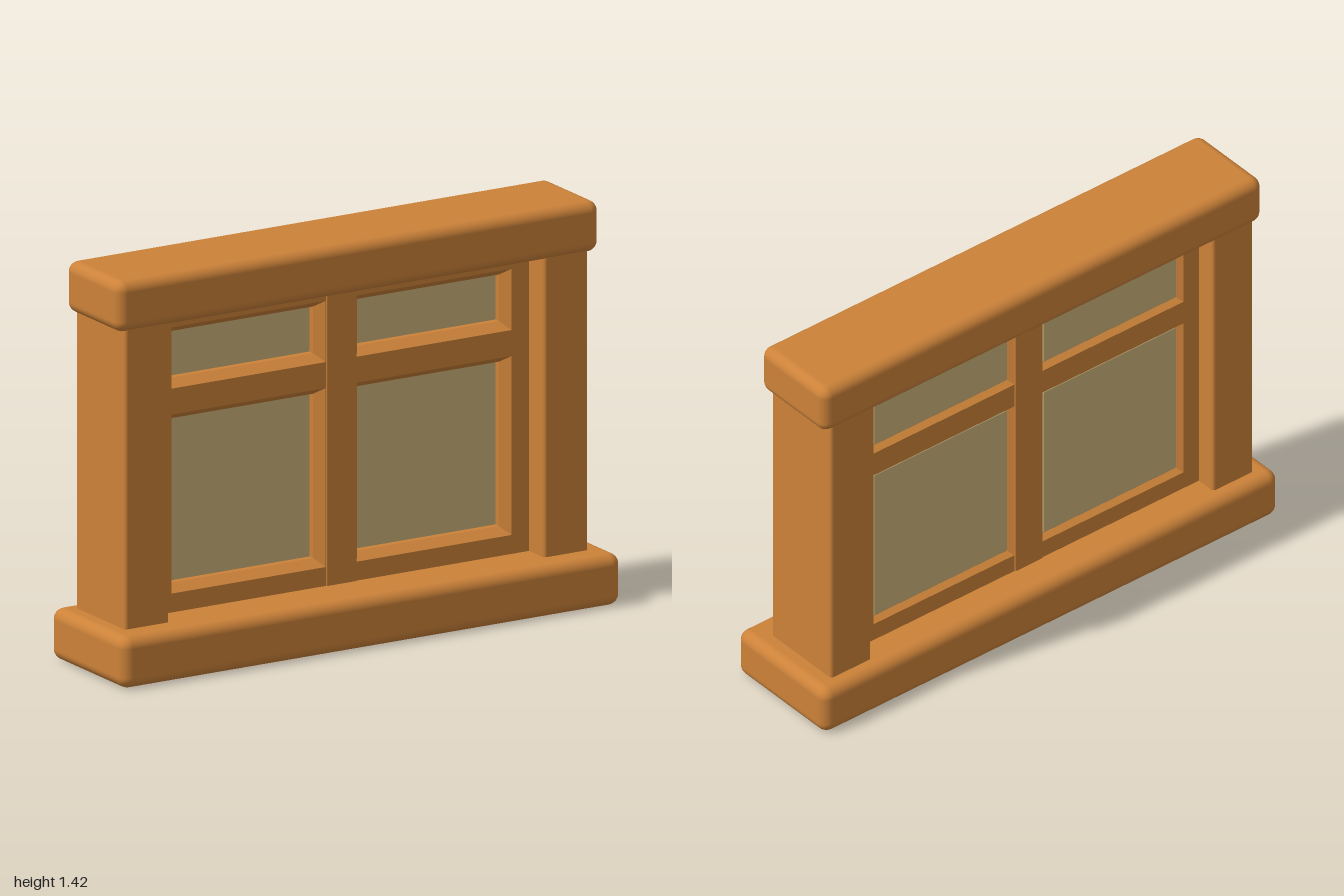
import * as THREE from 'three';
import { RoundedBoxGeometry } from 'three/addons/geometries/RoundedBoxGeometry.js';

export function createModel() {
  const group = new THREE.Group();
  const wood = new THREE.MeshStandardMaterial({ color: 0xcc8239 });
  wood.name = 'warm wood';
  const glass = new THREE.MeshStandardMaterial({ color: 0xcbb27a });
  glass.name = 'pale amber glass';

  // Rounded block given by its limits on each axis
  const block = (name, [x0, x1], [y0, y1], [z0, z1], radius, material = wood) => {
    const geometry = new RoundedBoxGeometry(x1 - x0, y1 - y0, z1 - z0, 4, radius);
    const mesh = new THREE.Mesh(geometry, material);
    mesh.position.set((x0 + x1) / 2, (y0 + y1) / 2, (z0 + z1) / 2);
    mesh.name = name;
    group.add(mesh);
  };

  // Outer surround
  block('sill', [-1, 1], [0, 0.183], [-0.247, 0.23], 0.04);
  block('lintel', [-0.968, 0.964], [1.237, 1.418], [-0.2, 0.147], 0.038);
  block('leftPost', [0.747, 0.925], [0.15, 1.27], [-0.19, 0.13], 0.012);
  block('rightPost', [-0.93, -0.753], [0.15, 1.27], [-0.19, 0.13], 0.012);

  // Rectangle path used for the sash outline and its openings
  const rect = (path, x0, x1, y0, y1) => {
    path.moveTo(x0, y0);
    path.lineTo(x1, y0);
    path.lineTo(x1, y1);
    path.lineTo(x0, y1);
    path.closePath();
    return path;
  };

  // Recessed sash with four bevelled openings
  const front = 0.033, back = -0.113, bevel = 0.04, inset = 0.026;
  const columns = [[-0.685, -0.067], [0.057, 0.677]];
  const rows = [[0.25, 0.884], [0.976, 1.193]];
  const outline = rect(new THREE.Shape(), -0.765, 0.76, 0.16, 1.26);
  for (const [x0, x1] of columns)
    for (const [y0, y1] of rows) outline.holes.push(rect(new THREE.Path(), x0, x1, y0, y1));
  const sashGeometry = new THREE.ExtrudeGeometry(outline, {
    depth: front - back - 2 * bevel,
    bevelThickness: bevel,
    bevelSize: inset,
    bevelSegments: 1,
  });
  sashGeometry.translate(0, 0, back + bevel);
  const sash = new THREE.Mesh(sashGeometry, wood);
  sash.name = 'sash';
  group.add(sash);

  // Centre mullion standing slightly proud of the rails
  block('mullion', [-0.066, 0.056], [0.16, 1.26], [back - 0.004, front + 0.004], 0.004);

  // Glass panes, let into the sash
  for (const [x0, x1] of columns)
    for (const [y0, y1] of rows)
      block('pane', [x0 + 0.016, x1 - 0.016], [y0 + 0.016, y1 - 0.016], [-0.096, -0.03], 0.006, glass);

  return group;
}
